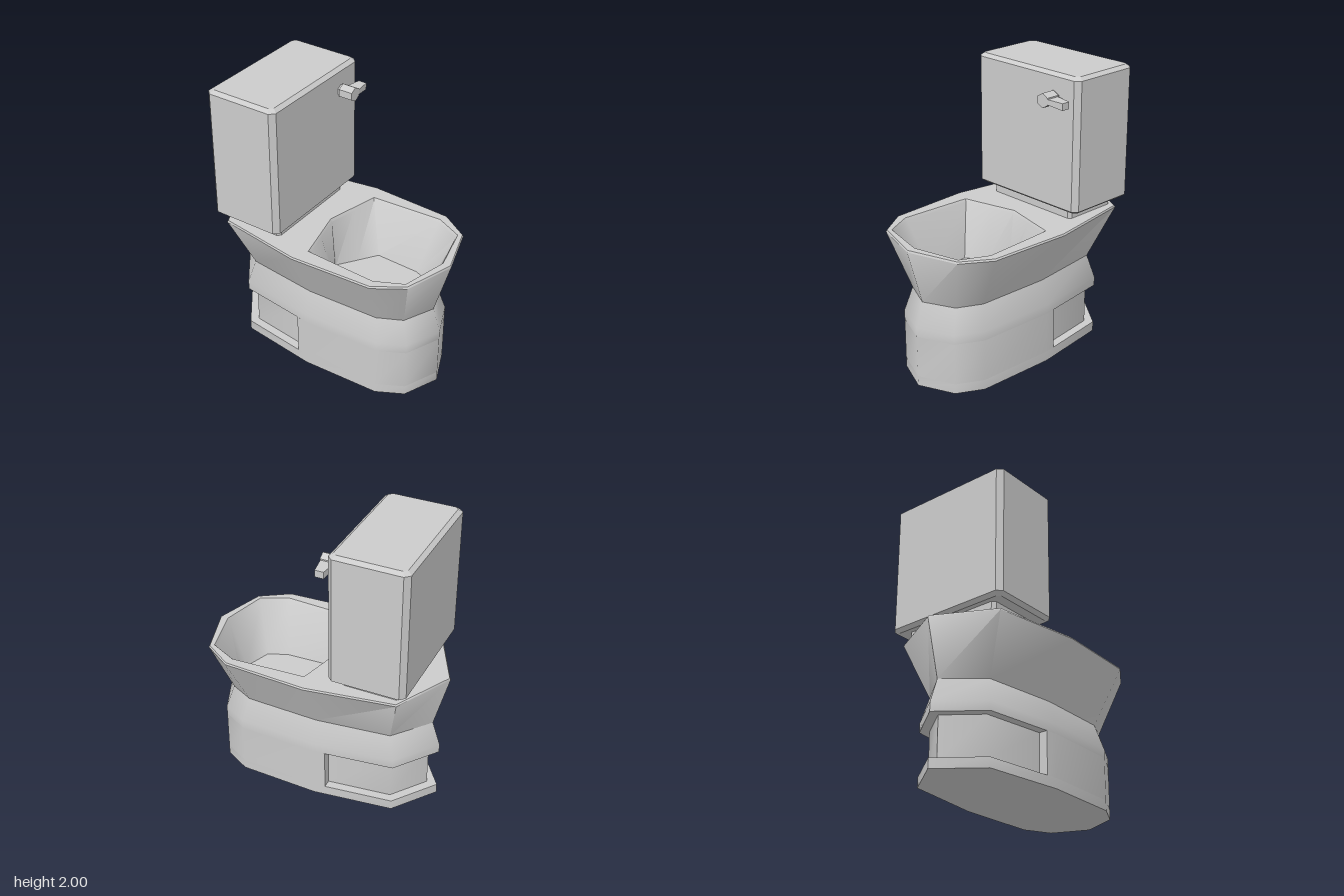
import * as THREE from 'three';
import { toCreasedNormals } from 'three/addons/utils/BufferGeometryUtils.js';

const material = new THREE.MeshStandardMaterial({ color: 0xcccccc });

// Completes a half outline (x, z >= 0, front to back) with its mirror image
function mirrored(half) {
  const other = half.filter(([, z]) => z > 0).reverse().map(([x, z]) => [x, -z]);
  return [...half, ...other];
}

const scaled = (half, sx, sz) => half.map(([x, z]) => [x * sx, z * sz]);

// Skins a stack of [height, outline] levels and caps both ends
function loft(levels, crease = 50) {
  const n = levels[0][1].length;
  const positions = [];
  const index = [];
  for (const [y, outline] of levels) {
    for (const [x, z] of outline) positions.push(x, y, z);
  }
  for (let k = 0; k < levels.length - 1; k++) {
    for (let i = 0; i < n; i++) {
      const a = k * n + i;
      const b = k * n + (i + 1) % n;
      index.push(a, a + n, b, b, a + n, b + n);
    }
  }
  const top = (levels.length - 1) * n;
  for (let i = 1; i < n - 1; i++) {
    index.push(0, i, i + 1, top, top + i + 1, top + i);
  }
  const geometry = new THREE.BufferGeometry();
  geometry.setAttribute('position', new THREE.Float32BufferAttribute(positions, 3));
  geometry.setIndex(index);
  return toCreasedNormals(geometry, THREE.MathUtils.degToRad(crease));
}

// Rectangle with cut corners, in the same order as the half outlines
function cutRectangle(x0, x1, z, cut) {
  return mirrored([[x1, z - cut], [x1 - cut, z], [x0 + cut, z], [x0, z - cut]]);
}

export function createModel() {
  const model = new THREE.Group();
  const add = (name, geometry, parent = model) => {
    const mesh = new THREE.Mesh(geometry, material);
    mesh.name = name;
    parent.add(mesh);
    return mesh;
  };

  const foot = [[0.805, 0], [0.7, 0.25], [0.52, 0.345], [-0.04, 0.365], [-0.595, 0.295], [-0.815, 0]];
  const rim = [[0.86, 0], [0.75, 0.35], [0.55, 0.48], [-0.04, 0.51], [-0.65, 0.415], [-0.86, 0]];
  const opening = [[0.8, 0], [0.72, 0.325], [0.53, 0.417], [0.01, 0.39], [-0.037, 0.195], [-0.085, 0]];
  const basin = [[0.665, 0], [0.6, 0.195], [0.46, 0.25], [0.14, 0.263], [0.05, 0.13], [-0.04, 0]];
  const waist = mirrored(scaled(foot, 0.93, 0.86));
  const footRing = mirrored(foot);

  // Pedestal: foot slab, full front, recessed back and flared shoulder
  const pedestal = new THREE.Group();
  pedestal.name = 'pedestal';
  model.add(pedestal);
  add('footSlab', loft([[0, footRing], [0.07, footRing]]), pedestal);
  const front = mirrored([...foot.slice(0, 4), [-0.12, 0.355]]);
  add('pedestalFront', loft([[0.07, front], [0.365, front]]), pedestal);
  const recess = mirrored([[-0.12, 0.294], [-0.562, 0.239], [-0.74, 0]]);
  add('pedestalRecess', loft([[0.07, recess], [0.365, recess]]), pedestal);
  add('shoulder', loft([[0.365, footRing], [0.43, footRing], [0.6, waist]], 60), pedestal);

  // Bowl: flared outside, flat rim, then down the inside to the basin floor
  add('bowl', loft([
    [0.6, waist],
    [0.988, mirrored(rim)],
    [1, mirrored(scaled(rim, 0.992, 0.988))],
    [1, mirrored(opening)],
    [0.982, mirrored(opening.map(([x, z]) => [0.36 + (x - 0.36) * 0.975, z * 0.965]))],
    [0.63, mirrored(basin)],
  ]));

  // Tank on a short neck
  const neck = cutRectangle(-0.655, -0.245, 0.365, 0.022);
  add('tankNeck', loft([[0.99, neck], [1.08, neck]], 20));
  const tank = cutRectangle(-0.72, -0.185, 0.465, 0.035);
  const tankEnd = cutRectangle(-0.692, -0.213, 0.437, 0.024);
  add('tank', loft([[1.065, tankEnd], [1.087, tank], [1.978, tank], [2, tankEnd]], 20));

  // Flush lever: stem, six-sided knob and a tapering arm
  const lever = new THREE.Group();
  lever.name = 'flushLever';
  lever.position.set(-0.12, 1.84, -0.266);
  model.add(lever);
  const hexBar = (radius, length) =>
    new THREE.CylinderGeometry(radius, radius, length, 6, 1, false, Math.PI / 6)
      .rotateZ(Math.PI / 2).toNonIndexed();
  const flat = (geometry) => {
    geometry.computeVertexNormals();
    return geometry;
  };
  add('leverStem', flat(hexBar(0.04, 0.05)), lever).position.x = -0.065;
  add('leverKnob', flat(hexBar(0.05, 0.1)), lever);
  const arm = new THREE.BoxGeometry(0.1, 0.034, 0.135).toNonIndexed();
  const p = arm.attributes.position;
  for (let i = 0; i < p.count; i++) {
    if (p.getZ(i) < 0) p.setXY(i, p.getX(i) * 0.6, p.getY(i) * 1.4 - 0.013);
  }
  add('leverArm', flat(arm), lever).position.z = -0.09;

  return model;
}
